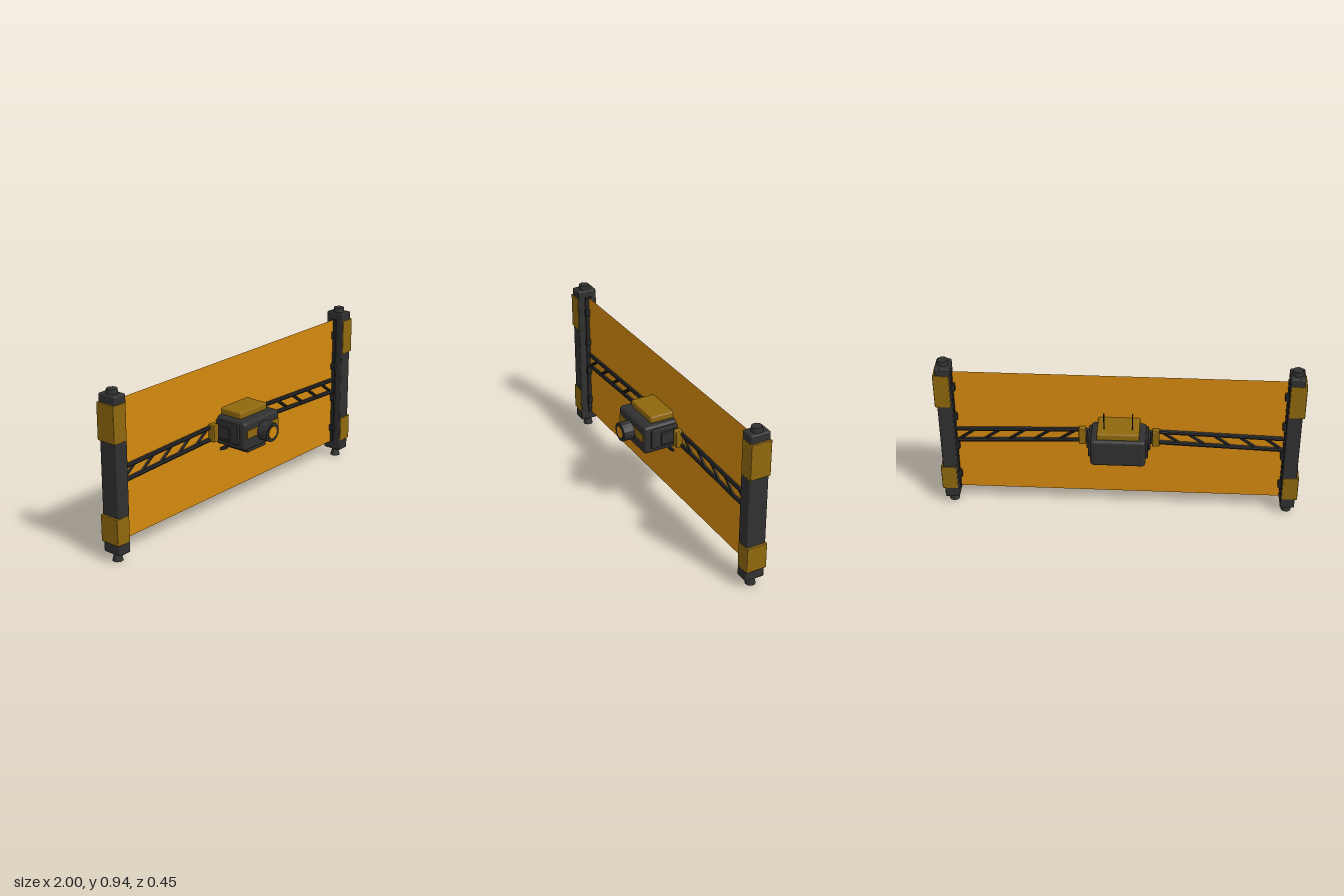
import * as THREE from 'three';
import { RoundedBoxGeometry } from 'three/addons/geometries/RoundedBoxGeometry.js';

const mat = (name, color, extra = {}) => {
  const m = new THREE.MeshStandardMaterial({ color, ...extra });
  m.name = name;
  return m;
};

export function createModel() {
  const root = new THREE.Group();
  root.name = 'panelCraft';
  const dark = mat('charcoal', 0x303030, { flatShading: true });
  const black = mat('nearBlack', 0x242424, { flatShading: true });
  const gold = mat('darkGold', 0x8f680e, { flatShading: true });
  const orange = mat('orange', 0xd5890f, { side: THREE.DoubleSide });
  const ZC = -0.035; // depth of the pillars and trusses

  const add = (name, geo, m, parent = root) => {
    const mesh = new THREE.Mesh(geo, m);
    mesh.name = name;
    parent.add(mesh);
    return mesh;
  };
  // Box from its limits, with optional rounded edges
  const box = (name, m, [x0, x1], [y0, y1], [z0, z1], r = 0, parent = root) => {
    const s = [x1 - x0, y1 - y0, z1 - z0];
    const geo = r ? new RoundedBoxGeometry(...s, 2, r) : new THREE.BoxGeometry(...s);
    const b = add(name, geo, m, parent);
    b.position.set((x0 + x1) / 2, (y0 + y1) / 2, (z0 + z1) / 2);
    return b;
  };
  const cyl = (name, m, rt, rb, h, x, y, z, sides = 12, parent = root) => {
    const c = add(name, new THREE.CylinderGeometry(rt, rb, h, sides), m, parent);
    c.position.set(x, y, z);
    return c;
  };
  // Round rod between two points of the truss plane
  const rod = (name, m, a, b, r, parent) => {
    const d = new THREE.Vector2(b[0] - a[0], b[1] - a[1]);
    const c = cyl(name, m, r, r, d.length(), (a[0] + b[0]) / 2, (a[1] + b[1]) / 2, -0.042, 8, parent);
    c.rotation.z = d.angle() - Math.PI / 2;
  };

  // Thin panel stretched between the pillars
  const sheet = add('panelSheet', new THREE.PlaneGeometry(1.82, 0.775), orange);
  sheet.position.set(0, 0.484, -0.042);

  // Central body
  box('body', dark, [-0.15, 0.15], [0.4, 0.566], [-0.223, 0.154], 0.02);
  box('topPlate', gold, [-0.115, 0.115], [0.56, 0.602], [-0.205, 0.095], 0.01);
  box('frontBand', gold, [-0.135, 0.135], [0.473, 0.52], [0.14, 0.159]);
  box('underBox', dark, [-0.08, 0.08], [0.364, 0.41], [-0.157, 0.114], 0.006);

  // Front lens
  const lens = new THREE.Group();
  lens.name = 'lens';
  lens.position.set(0, 0.49, 0);
  lens.rotation.x = Math.PI / 2;
  root.add(lens);
  cyl('lensBarrel', dark, 0.054, 0.056, 0.062, 0, 0.194, 0, 16, lens);
  cyl('lensNeck', dark, 0.035, 0.035, 0.02, 0, 0.158, 0, 16, lens);
  cyl('lensRim', black, 0.042, 0.042, 0.002, 0, 0.2255, 0, 24, lens);
  cyl('lensGlass', orange, 0.033, 0.033, 0.002, 0, 0.227, 0, 24, lens);

  for (const s of [-1, 1]) {
    // Each side is built on +x and turned over for -x by mirrored limits
    const X = (a, b) => (s > 0 ? [a, b] : [-b, -a]);
    const side = new THREE.Group();
    side.name = s > 0 ? 'leftSide' : 'rightSide';
    root.add(side);

    // Body side panels, arm root and antenna
    box('sidePanel', dark, X(0.14, 0.163), [0.433, 0.547], [-0.185, 0.115], 0.006, side);
    box('sideHatch', dark, X(0.155, 0.174), [0.45, 0.523], [-0.13, 0.06], 0.004, side);
    box('armBlock', dark, X(0.15, 0.185), [0.445, 0.525], [-0.065, -0.015], 0, side);
    box('armCollar', gold, X(0.182, 0.222), [0.436, 0.537], [-0.076, -0.004], 0.006, side);
    cyl('antenna', black, 0.0035, 0.0035, 0.11, s * 0.077, 0.647, -0.151, 8, side);

    // Round sensor under the body
    const px = s * 0.09, pz = -0.085;
    cyl('sensorDisc', black, 0.06, 0.056, 0.018, px, 0.363, pz, 20, side);
    cyl('sensorArm', dark, 0.03, 0.03, 0.04, px, 0.388, pz, 12, side);
    cyl('sensorRing', orange, 0.037, 0.037, 0.003, px, 0.353, pz, 20, side);
    cyl('sensorHub', black, 0.015, 0.015, 0.004, px, 0.352, pz, 12, side);

    // Truss: two chords and slanted braces
    const top = (t) => [s * (0.21 + 0.7 * t), 0.516 - 0.022 * t];
    const low = (t) => [s * (0.21 + 0.7 * t), 0.446 - 0.026 * t];
    rod('upperChord', black, top(0), top(1), 0.0135, side);
    rod('lowerChord', black, low(0), low(1), 0.0135, side);
    for (let i = 0; i < 5; i++) {
      rod('brace', black, top(i / 5 + 0.03), low(i / 5 + 0.18), 0.009, side);
    }

    // Pillar with sleeves, rail, clips, cap and foot
    box('pillar', dark, X(0.907, 0.988), [0.048, 0.916], [ZC - 0.057, ZC + 0.057], 0.008, side);
    for (const y of [[0.11, 0.26], [0.667, 0.871]]) {
      box('sleeve', gold, X(0.912, 1), y, [ZC - 0.0595, ZC + 0.0595], 0.004, side);
    }
    box('innerRail', black, X(0.9, 0.912), [0.097, 0.873], [-0.06, -0.02], 0, side);
    for (const y of [0.19, 0.387, 0.583, 0.777]) {
      box('clip', black, X(0.888, 0.91), [y - 0.022, y + 0.022], [-0.065, -0.015], 0.004, side);
    }
    cyl('cap', dark, 0.029, 0.033, 0.03, s * 0.947, 0.926, ZC, 12, side);
    cyl('foot', dark, 0.019, 0.029, 0.039, s * 0.947, 0.0195, ZC, 12, side);
  }
  return root;
}
